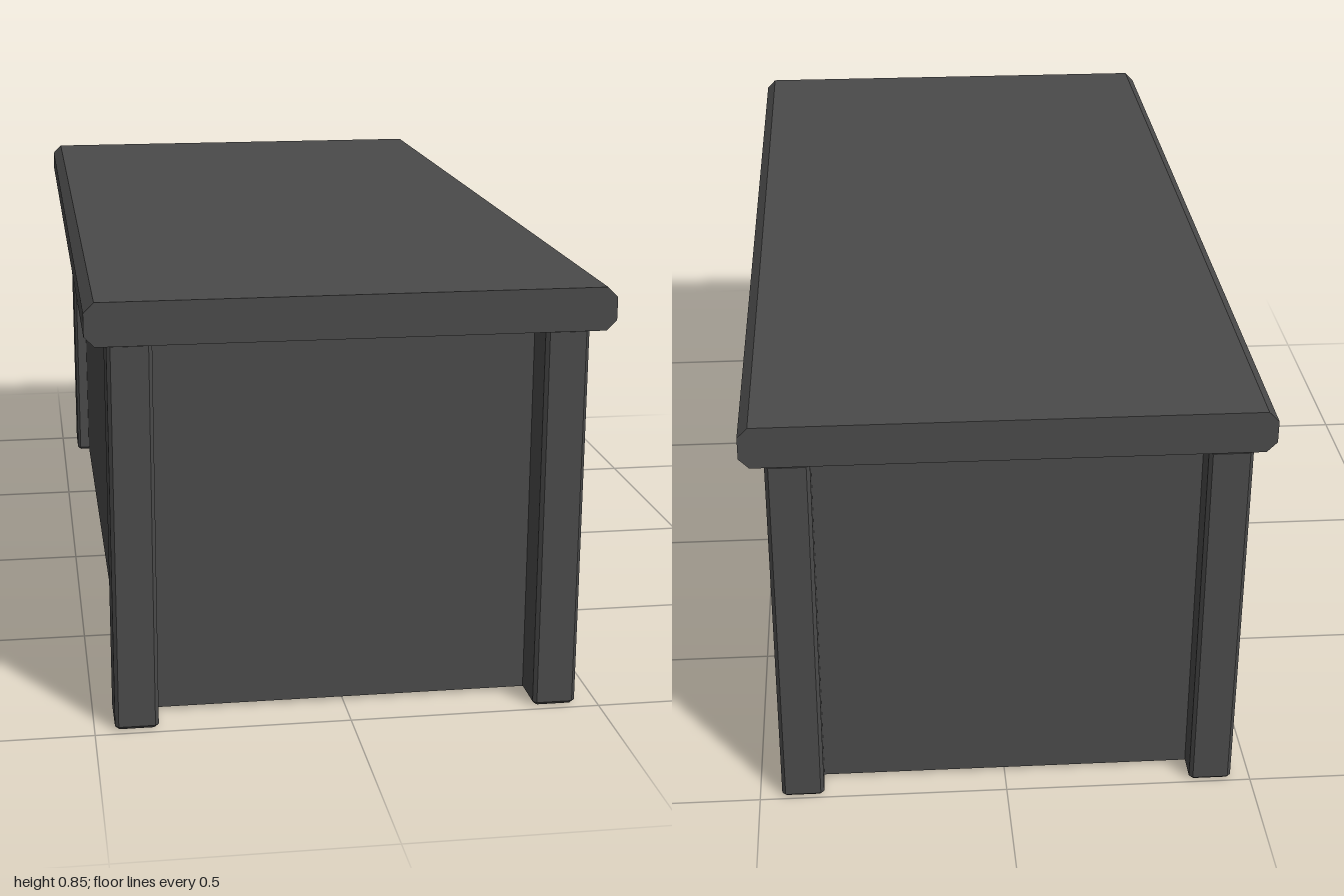
import * as THREE from 'three';

const material = new THREE.MeshStandardMaterial({ color: 0x4a4a4a, flatShading: true });

// Rectangle outline with its corners cut off
function chamferedRect(w, h, cx, cy) {
  const x = w / 2, y = h / 2;
  return new THREE.Shape([
    [x - cx, -y], [x, -y + cy], [x, y - cy], [x - cx, y],
    [-x + cx, y], [-x, y - cy], [-x, -y + cy], [-x + cx, -y],
  ].map(([px, py]) => new THREE.Vector2(px, py)));
}

export function createModel() {
  const group = new THREE.Group();
  const add = (name, geometry, x, y, z) => {
    const mesh = new THREE.Mesh(geometry, material);
    mesh.name = name;
    mesh.position.set(x, y, z);
    group.add(mesh);
  };

  // Top slab with bevelled long edges
  const top = new THREE.ExtrudeGeometry(chamferedRect(1.004, 0.084, 0.02, 0.02), { depth: 2, bevelEnabled: false });
  add('topSlab', top, 0, 0.811, -1);

  // Closed body set back between the posts
  const bottom = 0.006, height = 0.77 - bottom;
  add('body', new THREE.BoxGeometry(0.852, height, 1.835), -0.004, bottom + height / 2, -0.0175);

  // Corner posts with every edge lightly chamfered
  const c = 0.007, postHeight = 0.772;
  const post = new THREE.ExtrudeGeometry(chamferedRect(0.085, 0.115, c, c), {
    depth: postHeight - 2 * c, bevelThickness: c, bevelSize: c, bevelOffset: -c, bevelSegments: 1,
  });
  post.translate(0, 0, c);
  post.rotateX(-Math.PI / 2);
  for (const [side, x] of [['Left', 0.413], ['Right', -0.418]]) {
    add('front' + side + 'Post', post, x, 0, 0.928);
    add('back' + side + 'Post', post, x, 0, -0.938);
  }
  return group;
}
